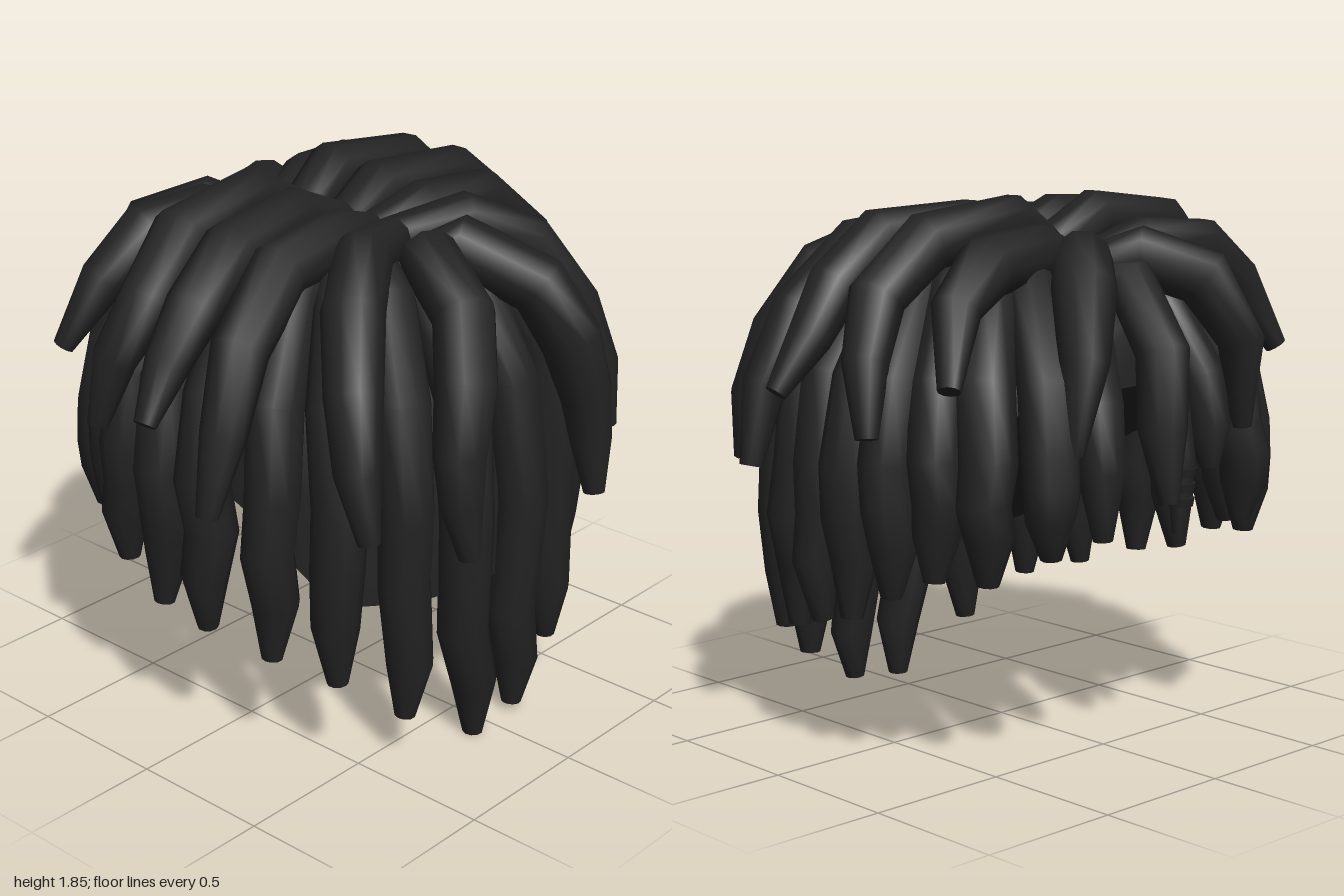
import * as THREE from 'three';

const black = new THREE.MeshStandardMaterial({ color: 0x222222 });
black.name = 'soft black';

const SIDES = 10;
const UPPER_TAPER = [0.72, 0.95, 1, 1, 0.86, 0.7, 0.36];
const LOWER_TAPER = [0.75, 0.98, 1.04, 1, 0.96, 0.86, 0.38];

// small seeded generator, -amount..amount
let seed = 11;
const wiggle = (amount) => {
  seed = (seed * 16807) % 2147483647;
  return (seed / 2147483647 * 2 - 1) * amount;
};

function makeGeometry(pos, idx) {
  const g = new THREE.BufferGeometry();
  g.setAttribute('position', new THREE.Float32BufferAttribute(pos, 3));
  g.setIndex(idx);
  g.computeVertexNormals();
  return g;
}

function taperAt(taper, u) {
  const f = u * (taper.length - 1), i = Math.min(Math.floor(f), taper.length - 2);
  return THREE.MathUtils.lerp(taper[i], taper[i + 1], f - i);
}

// a lock: rings swept along a jointed path, with a blunt narrow tip
function lock(name, points, radius, taper = LOWER_TAPER) {
  const p = points.map((a) => new THREE.Vector3(...a));
  const n = p.length, pos = [], idx = [];
  const run = p[n - 1].clone().sub(p[0]).setY(0).normalize();
  const across = run.cross(new THREE.Vector3(0, 1, 0));
  const ring = (i) => {
    const t = p[Math.min(i + 1, n - 1)].clone().sub(p[Math.max(i - 1, 0)]).normalize();
    const s = across.clone().addScaledVector(t, -across.dot(t)).normalize();
    const m = t.clone().cross(s);
    const r = radius * taperAt(taper, i / (n - 1));
    for (let j = 0; j < SIDES; j++) {
      const a = j / SIDES * Math.PI * 2;
      const v = p[i].clone().addScaledVector(s, Math.cos(a) * r).addScaledVector(m, Math.sin(a) * r);
      pos.push(v.x, v.y, v.z);
    }
  };
  for (let i = 0; i < n; i++) ring(i);
  for (let i = 0; i < n - 1; i++) {
    for (let j = 0; j < SIDES; j++) {
      const k = (j + 1) % SIDES, a = i * SIDES + j, b = i * SIDES + k;
      idx.push(a, b, a + SIDES, b, b + SIDES, a + SIDES);
    }
  }
  // separate rings keep the end edges sharp
  for (const end of [0, n - 1]) {
    const base = pos.length / 3;
    ring(end);
    pos.push(...p[end].toArray());
    for (let j = 0; j < SIDES; j++) {
      const k = (j + 1) % SIDES;
      if (end) idx.push(base + SIDES, base + j, base + k);
      else idx.push(base + SIDES, base + k, base + j);
    }
  }
  const mesh = new THREE.Mesh(makeGeometry(pos, idx), black);
  mesh.name = name;
  return mesh;
}

// lower rim of the scalp cap: low at +z, rising toward -z
function rimHeight(z) {
  if (z > 0.4) return 0.56;
  if (z > 0.15) return 0.56 + (0.4 - z) * 1.16;
  return 0.85 + (0.15 - z) * 0.5;
}

// domed cap under the locks, closed below by a fan
function scalpCap() {
  const cols = 32, rows = 8, R = 0.64, pos = [], idx = [];
  const point = (i, j) => {
    const a = j / cols * Math.PI * 2, v = i / rows * Math.PI / 2;
    const z = R * Math.cos(a), y = rimHeight(z);
    const s = Math.pow(Math.sin(v), 0.75), c = i === rows ? 0 : Math.pow(Math.cos(v), 0.75);
    pos.push(R * Math.sin(a) * s, y + (1.64 - y) * c, z * s);
  };
  for (let i = 0; i <= rows; i++) for (let j = 0; j < cols; j++) point(i, j);
  for (let i = 0; i < rows; i++) {
    for (let j = 0; j < cols; j++) {
      const k = (j + 1) % cols, a = i * cols + j, b = i * cols + k;
      if (i > 0) idx.push(a, a + cols, b);
      idx.push(b, a + cols, b + cols);
    }
  }
  const base = pos.length / 3;
  for (let j = 0; j < cols; j++) point(rows, j);
  pos.push(0, 0.9, 0);
  for (let j = 0; j < cols; j++) idx.push(base + cols, base + (j + 1) % cols, base + j);
  const mesh = new THREE.Mesh(makeGeometry(pos, idx), black);
  mesh.name = 'scalpCap';
  return mesh;
}

// path of a lock that leaves the crown, bends over the cap and hangs to its tip
function hangingPath([x, y, z]) {
  const along = (k, h) => [x * k + wiggle(0.012), h, z * k + wiggle(0.012)];
  const drop = 1.2 - y;
  return [
    along(0.3, 1.65), along(0.7, 1.56), along(0.93, 1.28),
    along(0.99, y + drop * 0.72),
    [x + wiggle(0.02), y + drop * 0.48, z + wiggle(0.025)],
    [x + wiggle(0.02), y + Math.min(0.2, drop * 0.28), z + wiggle(0.02)],
    [x, y, z],
  ];
}

// upper locks on the +x side, parted at x = 0
const UPPER = [
  [[0, 1.62, 0.33], [0.08, 1.67, 0.42], [0.19, 1.56, 0.66], [0.27, 1.37, 0.74], [0.33, 1.16, 0.77], [0.34, 1.0, 0.79], [0.33, 0.82, 0.82]],
  [[0, 1.66, 0.2], [0.25, 1.68, 0.29], [0.44, 1.58, 0.42], [0.56, 1.36, 0.53], [0.62, 1.14, 0.6], [0.62, 0.92, 0.65]],
  [[0, 1.65, 0.1], [0.2, 1.7, 0.15], [0.5, 1.67, 0.16], [0.72, 1.48, 0.2], [0.84, 1.24, 0.24], [0.91, 0.98, 0.23]],
  [[0, 1.66, -0.02], [0.2, 1.73, -0.05], [0.55, 1.71, 0.0], [0.73, 1.57, 0.01], [0.84, 1.42, 0.0], [0.965, 1.25, 0.02]],
  [[0, 1.66, -0.22], [0.19, 1.755, -0.25], [0.55, 1.71, -0.23], [0.73, 1.55, -0.2], [0.83, 1.36, -0.26], [0.87, 1.13, -0.31]],
  [[0, 1.6, -0.37], [0.25, 1.67, -0.42], [0.5, 1.65, -0.46], [0.66, 1.53, -0.49], [0.77, 1.3, -0.58]],
  [[0.02, 1.6, -0.36], [0.14, 1.65, -0.52], [0.28, 1.58, -0.67], [0.37, 1.37, -0.76], [0.4, 1.08, -0.74]],
];

// tips of the mirrored lower locks
const LOWER = [
  [0.38, 0.18, 0.6], [0.58, 0.34, 0.48], [0.68, 0.4, 0.28], [0.755, 0.47, 0.06],
  [0.78, 0.51, -0.12], [0.765, 0.61, -0.3], [0.7, 0.67, -0.43], [0.61, 0.67, -0.58],
  [0.45, 0.75, -0.7],
];

export function createModel() {
  const model = new THREE.Group();
  model.name = 'lockedHair';
  model.add(scalpCap());

  for (const side of [1, -1]) {
    const label = side > 0 ? 'left' : 'right';
    const flip = ([x, y, z]) => [x * side, y, z];
    UPPER.forEach((path, i) => model.add(lock(`${label}UpperLock${i + 1}`, path.map(flip), 0.104, UPPER_TAPER)));
    seed = 11;
    LOWER.forEach((tip, i) => model.add(lock(`${label}LowerLock${i + 1}`, hangingPath(tip).map(flip), 0.094)));
  }

  // the two longest front locks
  model.add(lock('leftLongLock', [[0.05, 1.6, 0.25], [0.1, 1.52, 0.47], [0.12, 1.24, 0.61], [0.14, 0.82, 0.66],
    [0.11, 0.42, 0.645], [0.145, 0.2, 0.65], [0.13, 0.03, 0.65]], 0.092));
  model.add(lock('rightLongLock', [[-0.05, 1.6, 0.25], [-0.1, 1.52, 0.47], [-0.12, 1.24, 0.61], [-0.15, 0.82, 0.66],
    [-0.14, 0.42, 0.645], [-0.08, 0.2, 0.65], [-0.08, 0.003, 0.65]], 0.092));

  // back locks near the middle
  model.add(lock('backMiddleLock', [[0, 1.55, -0.36], [-0.01, 1.57, -0.6], [-0.02, 1.36, -0.73], [0.02, 1.12, -0.77], [0.02, 0.88, -0.8]], 0.09));
  model.add(lock('backLeftLock', [[0.06, 1.55, -0.3], [0.18, 1.47, -0.57], [0.23, 1.2, -0.68], [0.25, 1.0, -0.72], [0.24, 0.78, -0.72]], 0.088));
  model.add(lock('backRightLock', [[-0.08, 1.55, -0.3], [-0.23, 1.47, -0.55], [-0.28, 1.25, -0.66], [-0.28, 1.08, -0.7], [-0.28, 0.95, -0.71]], 0.085));

  // thin lock with stacked beads
  model.add(lock('beadedLock', [[-0.06, 1.5, -0.3], [-0.14, 1.42, -0.56], [-0.15, 1.18, -0.66], [-0.15, 0.98, -0.7], [-0.15, 0.74, -0.69]], 0.055));
  for (let i = 0; i < 3; i++) {
    const bead = new THREE.Mesh(new THREE.CylinderGeometry(0.056 - i * 0.004, 0.05 - i * 0.004, 0.03, 10), black);
    bead.position.set(-0.15, 0.95 - i * 0.05, -0.698);
    bead.name = `bead${i + 1}`;
    model.add(bead);
  }
  return model;
}
